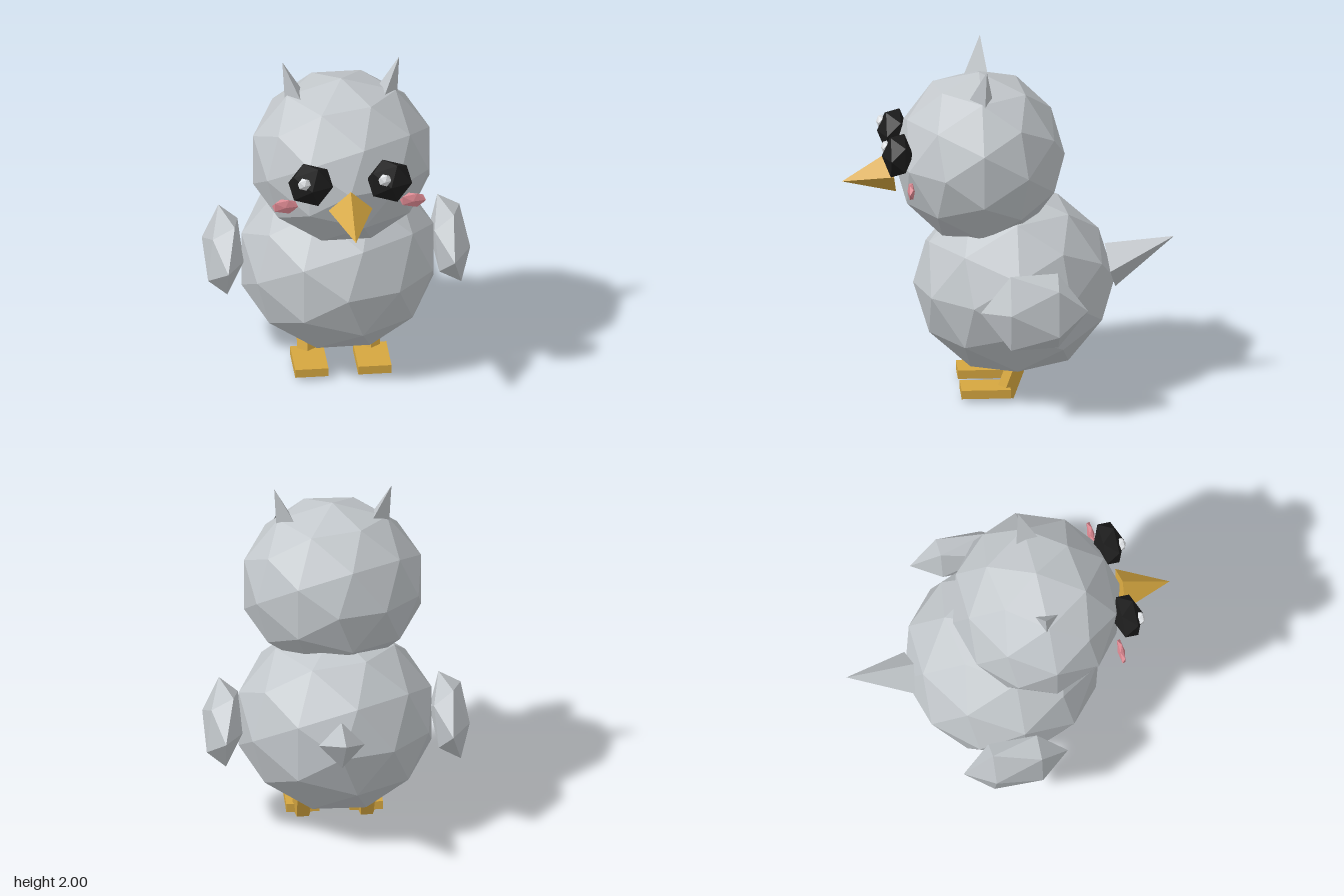
import * as THREE from 'three';
import { ConvexGeometry } from 'three/addons/geometries/ConvexGeometry.js';

const paint = (name, color) => {
  const m = new THREE.MeshStandardMaterial({ color });
  m.name = name;
  return m;
};

export function createModel() {
  const feather = paint('grey feather', 0xc3c8cc);
  const black = paint('eye black', 0x1c1c1c);
  const glint = paint('glint white', 0xe6e9ec);
  const pink = paint('cheek pink', 0xd9868f);
  const yellow = paint('beak yellow', 0xd6a740);

  const model = new THREE.Group();
  model.name = 'chick';

  const add = (name, geometry, material) => {
    const mesh = new THREE.Mesh(geometry, material);
    mesh.name = name;
    model.add(mesh);
    return mesh;
  };

  // Faceted ball with its poles along z, stretched to the given radii
  const ball = (name, material, detail, radii, centre) => {
    const g = new THREE.IcosahedronGeometry(1, detail);
    g.rotateX(Math.atan(2 / (1 + Math.sqrt(5))));
    g.rotateZ(Math.PI / 2);
    g.scale(...radii);
    g.computeVertexNormals();
    const mesh = add(name, g, material);
    mesh.position.set(...centre);
    return mesh;
  };

  // Closed spike from a list of corners
  const spike = (name, material, corners) =>
    add(name, new ConvexGeometry(corners.map((c) => new THREE.Vector3(...c))), material);

  ball('body', feather, 1, [0.577, 0.54, 0.573], [0, 0.64, -0.033]);
  ball('head', feather, 1, [0.53, 0.5, 0.488], [0, 1.39, 0.165]);

  spike('beak', yellow, [
    [0, 1.25, 0.945], [0, 1.43, 0.67], [0.125, 1.31, 0.657], [-0.125, 1.31, 0.657], [0, 1.185, 0.637],
  ]);
  spike('tail', feather, [
    [0, 0.885, -0.945], [0, 0.85, -0.55], [0.13, 0.72, -0.575], [-0.13, 0.72, -0.575], [0, 0.59, -0.61],
  ]);

  for (const [side, s] of [['left', 1], ['right', -1]]) {
    // Face
    ball(side + 'Eye', black, 0, [0.138, 0.138, 0.09], [s * 0.226, 1.475, 0.642]);
    ball(side + 'EyeGlint', glint, 0, [0.04, 0.04, 0.025], [s * 0.23 - 0.04, 1.517, 0.71]);
    ball(side + 'Cheek', pink, 0, [0.082, 0.05, 0.021], [s * 0.365, 1.305, 0.573]);

    // Tuft on top of the head
    spike(side + 'Tuft', feather, [
      [s * 0.334, 2, 0.14], [s * 0.215, 1.79, 0.1], [s * 0.235, 1.79, 0.24], [s * 0.32, 1.74, 0.15],
    ]);

    // Wing, lower end leaning outwards
    const wing = ball(side + 'Wing', feather, 0, [0.118, 0.253, 0.305], [s * 0.647, 0.663, -0.112]);
    wing.rotation.z = s * 0.1;

    // Leg slanting back into the body, and flat foot
    const legShape = new THREE.CylinderGeometry(0.058, 0.058, 0.3, 5).toNonIndexed();
    legShape.computeVertexNormals();
    legShape.translate(0, 0.15, 0);
    const leg = add(side + 'Leg', legShape, yellow);
    leg.position.set(s * 0.182, 0.018, 0.026);
    leg.rotation.x = -0.35;
    const foot = add(side + 'Foot', new THREE.BoxGeometry(0.19, 0.05, 0.28), yellow);
    foot.position.set(s * 0.18, 0.048, 0.14);
  }
  return model;
}
